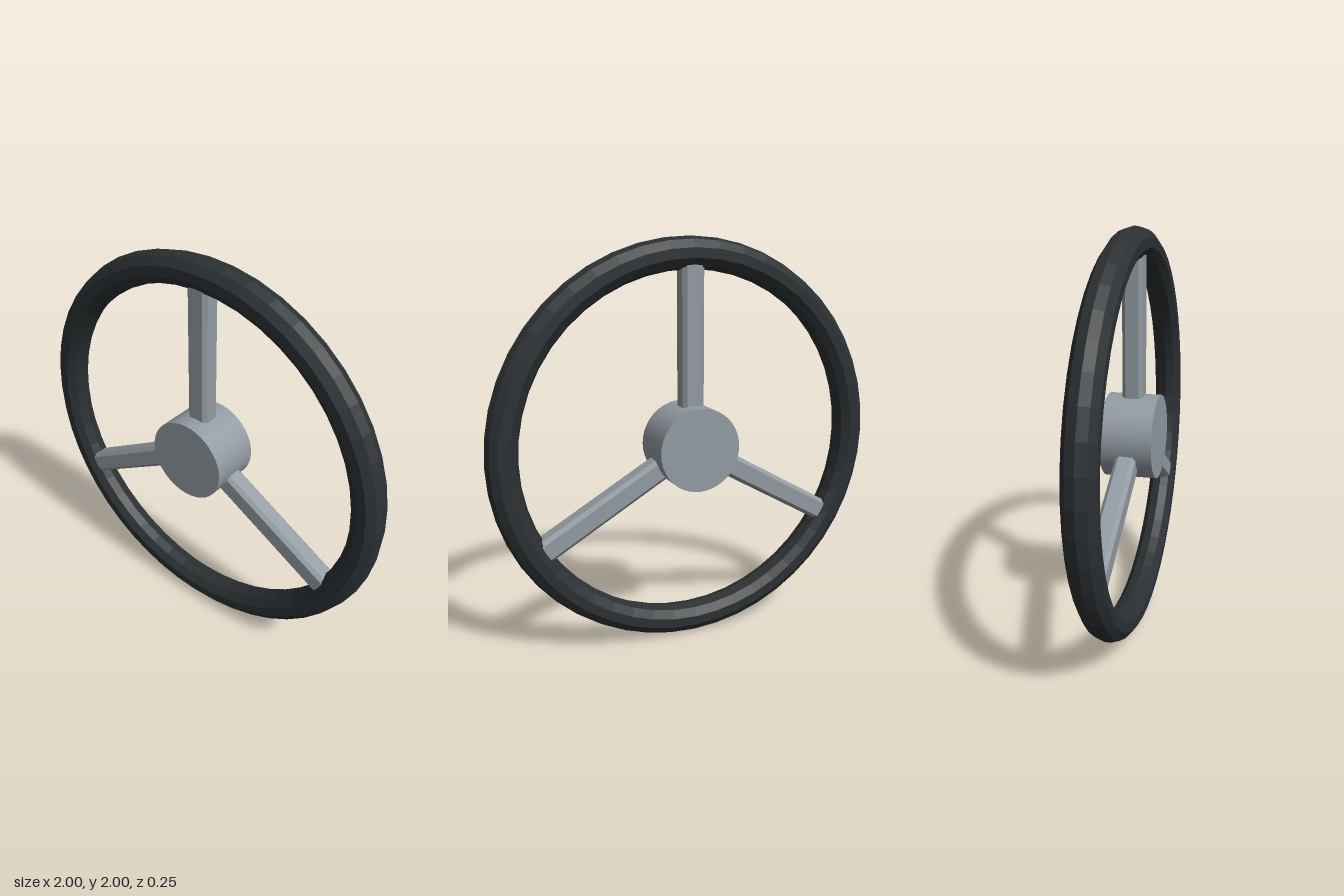
import * as THREE from 'three';

const RIM_RADIUS = 0.924;
const TUBE_RADIUS = 0.076;

export function createModel() {
  const group = new THREE.Group();
  group.name = 'steeringWheel';

  const grip = new THREE.MeshStandardMaterial({ color: 0x2b3033, flatShading: true });
  const metal = new THREE.MeshStandardMaterial({ color: 0x929ba2 });
  const facetedMetal = new THREE.MeshStandardMaterial({ color: 0x929ba2, flatShading: true });

  // Everything is built around the wheel centre, one unit above the ground
  const add = (name, geometry, material) => {
    const mesh = new THREE.Mesh(geometry, material);
    mesh.name = name;
    mesh.position.y = 1;
    group.add(mesh);
    return mesh;
  };

  // Ten-sided grip ring
  add('rim', new THREE.TorusGeometry(RIM_RADIUS, TUBE_RADIUS, 10, 48), grip);

  // Central drum facing front and back
  add('hub', new THREE.CylinderGeometry(0.206, 0.206, 0.252, 40).rotateX(Math.PI / 2), metal);

  // Bevelled bar running from inside the hub into the rim
  const w = 0.056, d = 0.05, b = 0.018;
  const profile = new THREE.Shape([
    [w, -d + b], [w, d - b], [w - b, d], [-w + b, d],
    [-w, d - b], [-w, -d + b], [-w + b, -d], [w - b, -d],
  ].map(([x, y]) => new THREE.Vector2(x, y)));
  const spokeGeometry = new THREE.ExtrudeGeometry(profile, { depth: 0.8, bevelEnabled: false })
    .rotateX(-Math.PI / 2)
    .translate(0, 0.1, 0);

  // Three spokes, evenly spaced from the top
  ['topSpoke', 'rightSpoke', 'leftSpoke'].forEach((name, i) => {
    add(name, spokeGeometry, facetedMetal).rotation.z = (i * Math.PI * 2) / 3;
  });

  return group;
}
